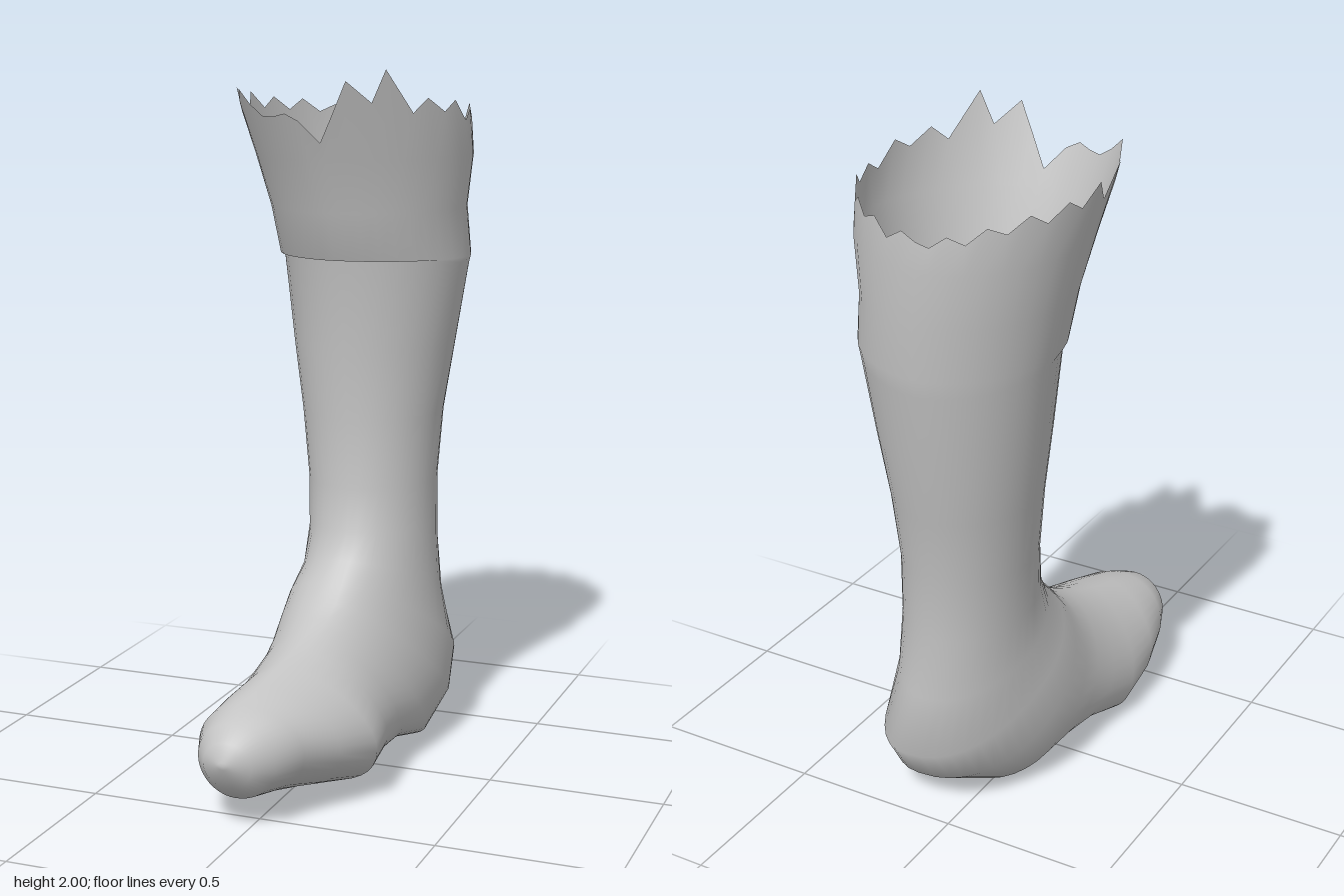
import * as THREE from 'three';

const SEG = 40;

// One cross-section, spanned in the side plane from its front/top point (az, ay) to its
// back/bottom point (bz, by), whose sideways positions are ax and bx, and from x0 to x1
// across. The powers narrow (above 1) or square (below 1) each half; sag lowers the sides.
function ring([az, ay, bz, by, x0, x1, ax, bx, frontPower = 1, backPower = 1, sag = 0]) {
  const points = [];
  const middle = (ax + bx) / 2;
  for (let i = 0; i < SEG; i++) {
    const t = (i / SEG) * Math.PI * 2;
    const c = Math.cos(t), s = Math.sin(t);
    const reach = s > 0 ? x1 - middle : x0 - middle;
    const spread = Math.pow(Math.abs(s), c < 0 ? backPower : frontPower);
    points.push(new THREE.Vector3(
      middle + c * (ax - bx) / 2 + reach * spread,
      (ay + by) / 2 + c * (ay - by) / 2 - sag * s * s,
      (az + bz) / 2 + c * (az - bz) / 2));
  }
  return points;
}

// Skin a list of cross-sections, listed from the opening downward
function loft(rings, material, name) {
  const index = [];
  for (let r = 0; r < rings.length - 1; r++) {
    for (let i = 0; i < SEG; i++) {
      const j = (i + 1) % SEG;
      const a = r * SEG + i, b = r * SEG + j, c = a + SEG, d = b + SEG;
      index.push(a, c, b, b, c, d);
    }
  }
  const geometry = new THREE.BufferGeometry().setFromPoints(rings.flat());
  geometry.setIndex(index);
  geometry.computeVertexNormals();
  const mesh = new THREE.Mesh(geometry, material);
  mesh.name = name;
  return mesh;
}

export function createModel() {
  const group = new THREE.Group();
  group.name = 'boot';
  const grey = new THREE.MeshStandardMaterial({ color: 0xc4c4c4, side: THREE.DoubleSide });
  grey.name = 'plain grey';

  // Torn rim; heights run from the front round by +x
  const rimHeights = [
    1.86, 1.80, 1.88, 1.97, 1.91, 2.00, 1.88, 1.92, 1.88, 1.91,
    1.85, 1.88, 1.85, 1.89, 1.84, 1.87, 1.84, 1.86, 1.82, 1.85,
    1.83, 1.82, 1.85, 1.83, 1.87, 1.85, 1.89, 1.86, 1.90, 1.87,
    1.92, 1.86, 1.94, 1.87, 1.90, 1.94, 1.90, 1.87, 1.87, 1.88,
  ];
  const wall = ring([0.055, 1.75, -0.64, 1.75, -0.303, 0.32, -0.03, -0.03, 1.12, 1.12]);
  const flare = ring([0.115, 1.9, -0.63, 1.9, -0.332, 0.315, -0.05, -0.03, 1.1, 1.12]);
  const rim = wall.map((p, i) => {
    const q = p.clone().lerp(flare[i], (rimHeights[i] - 1.75) / 0.15);
    q.y = rimHeights[i];
    return q;
  });

  // Cuff, folded over the shaft at the front and flush with it at the back
  const cuff = [
    [0, 1.6, -0.632, 1.6, -0.272, 0.297, 0, -0.01, 1.08, 1.08],
    [-0.035, 1.465, -0.622, 1.45, -0.251, 0.309, 0.01, 0, 1.1, 1.1],
  ];
  // Shaft, turning through the ankle and heel
  const shaft = [
    [-0.055, 1.475, -0.614, 1.4, -0.242, 0.302, 0.015, 0, 1.08, 1.1],
    [-0.075, 1.2, -0.58, 1.2, -0.21, 0.265, 0.02, 0.01, 1.05, 1.05],
    [-0.09, 1.0, -0.54, 1.0, -0.18, 0.235, 0.028, 0.02],
    [-0.08, 0.8, -0.50, 0.8, -0.15, 0.225, 0.037, 0.037],
    [-0.06, 0.68, -0.488, 0.6, -0.14, 0.23, 0.04, 0.05],
    [-0.02, 0.6, -0.49, 0.4, -0.14, 0.24, 0.035, 0.08],
    [0.03, 0.545, -0.50, 0.2, -0.16, 0.26, 0.03, 0.14, 1, 0.85],
    [0.07, 0.5, -0.43, 0.09, -0.175, 0.265, 0.025, 0.14, 1, 0.85, 0.03],
    [0.12, 0.465, -0.27, 0.005, -0.18, 0.25, 0.02, 0.1, 1.05, 0.8, 0.04],
  ];
  // Sole, instep and rounded toe
  const foot = [
    [0.18, 0.435, -0.1, 0.045, -0.18, 0.235, 0.01, 0.04, 1.1, 0.75, 0.05],
    [0.24, 0.41, 0.06, 0.05, -0.188, 0.24, 0, 0, 1.15, 0.75, 0.05],
    [0.32, 0.385, 0.22, 0.02, -0.2, 0.255, -0.015, -0.06, 1.2, 0.8, 0.05],
    [0.42, 0.36, 0.36, 0.05, -0.2, 0.195, -0.025, -0.06, 1.15, 0.8, 0.03],
    [0.52, 0.33, 0.48, 0.07, -0.178, 0.13, -0.035, -0.05, 1, 0.9],
    [0.59, 0.3, 0.57, 0.085, -0.145, 0.08, -0.04, -0.04],
    [0.63, 0.26, 0.62, 0.13, -0.11, 0.03, -0.04, -0.04],
    [0.645, 0.21, 0.645, 0.19, -0.06, -0.03, -0.045, -0.045],
    [0.645, 0.2, 0.645, 0.2, -0.045, -0.045, -0.045, -0.045],
  ];
  const sections = [...cuff, ...shaft, ...foot].map(ring);
  group.add(loft([rim, wall, ...sections], grey, 'cuffShaftAndFoot'));

  return group;
}
